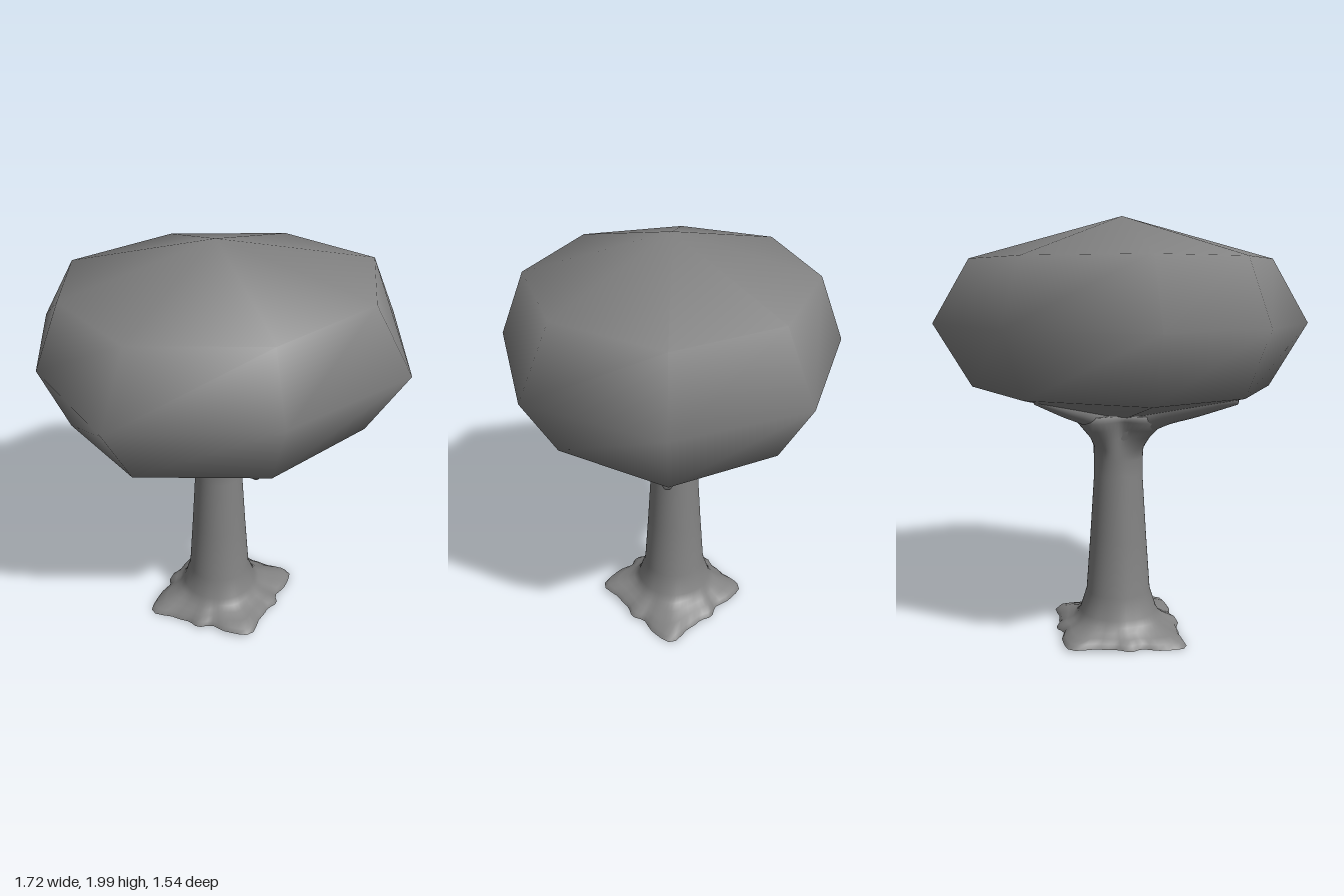
import * as THREE from 'three';

const material = new THREE.MeshStandardMaterial({ color: 0x828282, side: THREE.DoubleSide });
const V = (x, y, z) => new THREE.Vector3(x, y, z);

// Smooth skin over equal-sized rings, closed by a top pole and, if given, a bottom pole
function loft(name, rings, top, bottom) {
  const n = rings[0].length;
  const points = [...rings.flat(), top];
  const topIndex = points.length - 1;
  if (bottom) points.push(bottom);
  const index = [];
  for (let j = 0; j < n; j++) {
    const k = (j + 1) % n;
    if (bottom) index.push(topIndex + 1, j, k);
    for (let i = 0; i < rings.length - 1; i++) {
      const a = i * n + j, b = i * n + k;
      index.push(a, a + n, b, b, a + n, b + n);
    }
    index.push(topIndex, topIndex - n + k, topIndex - n + j);
  }
  const geometry = new THREE.BufferGeometry().setFromPoints(points);
  geometry.setIndex(index);
  geometry.computeVertexNormals();
  const mesh = new THREE.Mesh(geometry, material);
  mesh.name = name;
  return mesh;
}

// Faceted crown: one irregular octagon at three heights, corners drawn in above and below
function makeCanopy() {
  const outline = [
    [0.855, -0.03], [0.6, 0.565], [-0.06, 0.77], [-0.72, 0.565],
    [-0.86, -0.03], [-0.72, -0.59], [-0.06, -0.775], [0.6, -0.59],
  ];
  const cx = -0.06, cz = -0.01;
  const rings = [[1.22, 0.85, 0.8], [1.515, 1, 1], [1.81, 0.85, 0.8]].map(([y, side, corner]) =>
    outline.map(([x, z], j) => {
      const s = j % 2 ? corner : side;
      return V(cx + (x - cx) * s, y, cz + (z - cz) * s);
    }));
  return loft('canopy', rings, V(cx, 2, cz), V(cx, 1.055, cz));
}

const AXIS = V(-0.05, 0, -0.022);

// Hollow-footed trunk: root lobes at the base, four swellings at the top that meet the branches
function makeTrunk() {
  const sides = 64;
  // height, radius, root strength, branch swelling
  const profile = [
    [0.006, 0.335, 1, 0], [0.03, 0.318, 0.9, 0], [0.048, 0.275, 0.6, 0], [0.068, 0.235, 0.32, 0],
    [0.09, 0.208, 0.14, 0], [0.12, 0.188, 0.04, 0], [0.22, 0.155, 0, 0], [0.5, 0.135, 0, 0],
    [0.8, 0.116, 0, 0], [0.88, 0.117, 0, 0.002], [0.93, 0.118, 0, 0.012], [0.99, 0.12, 0, 0.055],
    [1.03, 0.128, 0, 0.09], [1.07, 0.14, 0, 0.12], [1.1, 0.155, 0, 0.1],
  ];
  const rings = profile.map(([y, r, root, swell]) =>
    Array.from({ length: sides }, (_, j) => {
      const t = (j / sides) * Math.PI * 2;
      const c = Math.cos(t), s = Math.sin(t);
      const wave = 0.042 * Math.cos(4 * t) + 0.02 * Math.cos(8 * t) + 0.007 * Math.cos(16 * t + 1);
      const radius = r + root * wave + swell * (1 + Math.cos(4 * t)) / 2;
      const lift = root * s * s * (s > 0 ? 0.024 : 0.012);
      return V(AXIS.x + radius * c + 0.012 * root, y + lift,
        AXIS.z + radius * s * (1 - 0.08 * root) + 0.012 * root);
    }));
  return loft('trunk', rings, V(AXIS.x, 1.1, AXIS.z));
}

// Tapered branch that rises inside the trunk and bends outwards
function makeBranch(name, angle, reach, drift) {
  const sides = 16, steps = 20;
  const out = V(Math.cos(angle), 0, Math.sin(angle));
  const side = V(-out.z, 0, out.x);
  const up = V(0, 1, 0);
  // outward distance, height, radius
  const keys = [
    [0, 0.8, 0.098], [0.01, 0.93, 0.103], [0.11, 1.045, 0.084],
    [0.28, 1.108, 0.058], [0.5, 1.157, 0.042], [0.74, 1.21, 0.02],
  ];
  const path = new THREE.CatmullRomCurve3(keys.map(([o, y, r]) => V(o * reach, y, r)));
  const place = (o, y) => AXIS.clone().addScaledVector(out, o).addScaledVector(up, y)
    .addScaledVector(side, drift * o);
  const rings = [];
  for (let i = 0; i <= steps; i++) {
    const p = path.getPoint(i / steps);
    const t = path.getTangent(i / steps).setZ(0).normalize();
    const normal = out.clone().multiplyScalar(t.y).addScaledVector(up, -t.x);
    const centre = place(p.x, p.y);
    rings.push(Array.from({ length: sides }, (_, j) => {
      const a = (j / sides) * Math.PI * 2;
      return centre.clone().addScaledVector(normal, p.z * Math.cos(a))
        .addScaledVector(side, p.z * Math.sin(a));
    }));
  }
  return loft(name, rings, place(0.75 * reach, 1.217), place(0, 0.8));
}

export function createModel() {
  const model = new THREE.Group();
  model.name = 'tree';
  model.add(
    makeCanopy(),
    makeTrunk(),
    makeBranch('leftBranch', 0, 1, 0),
    makeBranch('frontBranch', Math.PI / 2, 0.84, 0.09),
    makeBranch('rightBranch', Math.PI, 0.87, 0),
    makeBranch('backBranch', -Math.PI / 2, 0.74, 0),
  );
  return model;
}
